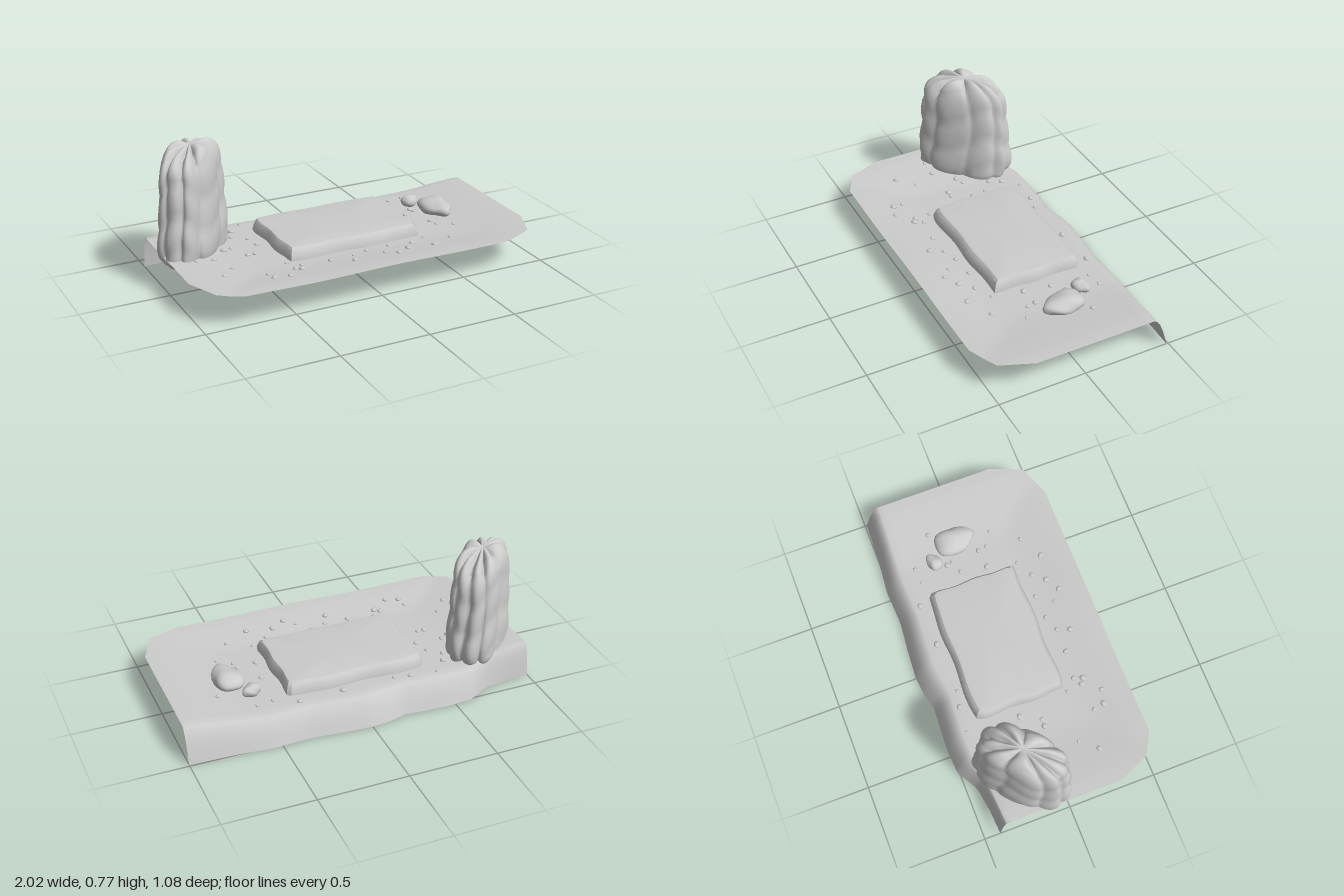
import * as THREE from 'three';
import { toCreasedNormals } from 'three/addons/utils/BufferGeometryUtils.js';

const { smoothstep, lerp } = THREE.MathUtils;
const V = (x, y, z) => new THREE.Vector3(x, y, z);
const grey = new THREE.MeshStandardMaterial({ color: 0xcccccc });
const sheet = new THREE.MeshStandardMaterial({ color: 0xcccccc, side: THREE.DoubleSide });

// Piecewise linear lookup in [x, value] pairs
function lookup(points, x) {
  for (let i = 1; i < points.length; i++) {
    const [x0, a] = points[i - 1], [x1, b] = points[i];
    if (x <= x1) return lerp(a, b, (x - x0) / (x1 - x0));
  }
  return points[points.length - 1][1];
}

// Skin over rows of points; closed rows wrap round
function loft(rows, closed) {
  const n = rows[0].length, index = [];
  for (let i = 0; i < rows.length - 1; i++) {
    for (let j = 0; j < (closed ? n : n - 1); j++) {
      const k = (j + 1) % n;
      const a = i * n + j, b = i * n + k, c = a + n, d = b + n;
      index.push(a, b, d, a, d, c);
    }
  }
  const geo = new THREE.BufferGeometry().setFromPoints(rows.flat());
  geo.setIndex(index);
  geo.computeVertexNormals();
  return geo;
}

function add(parent, name, geo, material = grey) {
  const mesh = new THREE.Mesh(geo, material);
  mesh.name = name;
  parent.add(mesh);
  return mesh;
}

// Outline of the ground: front edge, back rim and foot of the back drop
const FRONT = [[-1, 0.29], [-0.925, 0.47], [-0.8, 0.54], [0.75, 0.54], [0.925, 0.47], [1, 0.29]];
const RIM = [[-1, -0.37], [-0.72, -0.385], [-0.6, -0.415], [-0.42, -0.415], [-0.2, -0.4],
  [0, -0.43], [0.3, -0.41], [0.55, -0.42], [1, -0.4]];
const FOOT = [[-1, -0.41], [-0.85, -0.42], [-0.72, -0.44], [-0.6, -0.51], [-0.45, -0.52], [-0.2, -0.505],
  [-0.1, -0.53], [0, -0.54], [0.15, -0.53], [0.35, -0.51], [0.55, -0.52], [0.75, -0.5], [1, -0.49]];

// Shallow dish, raised towards its rim
function groundY(x, z) {
  const front = 0.028 * smoothstep(z, 0.2, 0.54);
  const sides = 0.036 * smoothstep(Math.abs(x), 0.55, 1);
  return 0.152 + Math.max(front, sides) + 0.003 * Math.sin(7 * x + 1) * smoothstep(z, 0.1, 0.5);
}

function groundGeometry() {
  const xs = [...Array.from({ length: 61 }, (_, i) => -1 + i / 30), -0.925, 0.925, 0.75].sort((a, b) => a - b);
  const rows = [];
  for (let i = 0; i <= 20; i++) {
    rows.push(xs.map(x => {
      const z = lerp(lookup(FRONT, x), lookup(RIM, x), i / 20);
      return V(x, groundY(x, z), z);
    }));
  }
  // Rounded fall at the back: [share of depth, share of height]
  for (const [t, h] of [[0.22, 0.94], [0.45, 0.78], [0.65, 0.55], [0.84, 0.27], [1, 0]]) {
    rows.push(xs.map(x => {
      const rim = lookup(RIM, x);
      return V(x, groundY(x, rim) * h, lerp(rim, lookup(FOOT, x), t));
    }));
  }
  return loft(rows, false);
}

// Low slab with wavy sloping sides
function slabGeometry() {
  const n = 16, corners = [[-1, 1], [1, 1], [1, -1], [-1, -1]];
  const loop = (hx, hz, y, wave) => {
    const points = [];
    corners.forEach(([x0, z0], s) => {
      const [x1, z1] = corners[(s + 1) % 4];
      for (let i = 0; i < n; i++) {
        const x = lerp(x0, x1, i / n), z = lerp(z0, z1, i / n);
        const w = wave * Math.sin(i / n * 13 + s * 1.9);
        const round = 1 - 0.03 * Math.abs(x * z) ** 12;
        points.push(V(x * round * (hx + w), y, z * round * (hz + w)));
      }
    });
    return points;
  };
  const rows = [loop(0.395, 0.266, -0.01, 0.006), loop(0.393, 0.264, 0.02, 0.006), loop(0.383, 0.25, 0.055, 0.005),
    loop(0.373, 0.235, 0.068, 0.004), loop(0.35, 0.215, 0.071, 0), loop(0.0001, 0.0001, 0.071, 0)];
  return toCreasedNormals(loft(rows, true), 0.5);
}

// Tall outcrop of fused, stacked columns
function outcropGeometry() {
  const profile = new THREE.CatmullRomCurve3([[0.01, 0.1], [0.5, 0.105], [0.88, 0.135], [1, 0.19], [1, 0.28],
    [0.95, 0.4], [0.92, 0.52], [0.89, 0.6], [0.82, 0.68], [0.65, 0.735], [0.35, 0.757], [0.01, 0.75],
  ].map(([r, y]) => V(r, y, 0)));
  const rows = [];
  for (const { x: r, y } of profile.getSpacedPoints(64)) {
    const row = [];
    for (let j = 0; j < 108; j++) {
      const t = j / 108 * Math.PI * 2;
      const lobe = Math.abs(Math.sin(4.5 * t + 0.5 * Math.sin(2 * t) + 0.35 * Math.sin(9 * y))) ** 0.6;
      const tier = Math.abs(Math.sin(y * 17 + 0.9 * Math.sin(3 * t + 1))) ** 0.6;
      const k = r * (1 - 0.13 * (1 - lobe) - 0.06 * (1 - tier));
      const c = Math.cos(t), s = Math.sin(t);
      const crown = smoothstep(y, 0.6, 0.75) * smoothstep(r, 0.05, 0.45);
      row.push(V(0.285 * k * Math.sign(c) * Math.abs(c) ** 0.85,
        y - crown * (0.045 * (1 - lobe) + 0.015 * Math.sin(2 * t + 1)),
        -0.155 * k * Math.sign(s) * Math.abs(s) ** 0.85));
    }
    rows.push(row);
  }
  return loft(rows, true);
}

// Smooth uneven boulder
function boulderGeometry(rx, ry, rz) {
  const geo = new THREE.SphereGeometry(1, 24, 16);
  const p = geo.attributes.position;
  for (let i = 0; i < p.count; i++) {
    const x = p.getX(i), y = p.getY(i), z = p.getZ(i);
    const k = 1 + 0.06 * Math.sin(4 * x + 2 * z) + 0.05 * Math.sin(5 * z - 3 * y);
    const taper = 1 - 0.18 * z;
    p.setXYZ(i, x * k * rx * taper, y * k * ry * (1 - 0.2 * z), z * k * rz);
  }
  geo.computeVertexNormals();
  return geo;
}

// Pebble positions: x, z
const PEBBLES = [[-0.44, -0.39], [-0.29, -0.38], [-0.2, -0.36], [-0.52, -0.31], [-0.55, -0.24], [-0.48, -0.18],
  [-0.46, -0.09], [-0.61, -0.1], [-0.66, -0.08], [-0.76, 0.03], [-0.86, 0.03], [-0.56, 0.02], [-0.52, 0.02],
  [-0.71, 0.16], [-0.79, 0.25], [-0.57, 0.31], [-0.56, 0.37], [-0.48, 0.39], [-0.42, 0.21], [-0.41, 0.3],
  [-0.36, 0.27], [-0.38, 0.32], [-0.2, 0.29], [-0.06, 0.29], [-0.09, 0.36], [0.03, 0.26], [0.1, 0.34],
  [0.16, 0.39], [0.17, 0.25], [0.24, 0.345], [0.3, 0.28], [0.4, 0.23], [0.39, 0.37], [0.53, 0.3],
  [0.64, 0.15], [0.55, 0.05], [0.56, 0.1], [0.44, 0.06], [0.465, -0.09], [0.48, -0.32], [0.35, -0.38],
  [0.57, -0.33], [0.1, -0.37], [0.74, -0.19], [0.535, -0.12], [0.53, -0.15]];

export function createModel() {
  const model = new THREE.Group();
  model.name = 'rockyLedge';

  add(model, 'ground', groundGeometry(), sheet);
  add(model, 'slab', slabGeometry(), sheet).position.set(-0.005, 0.15, -0.06);

  const outcrop = add(model, 'outcrop', outcropGeometry());
  outcrop.position.set(-0.785, 0, -0.2);
  outcrop.rotation.y = Math.PI / 4;

  const large = add(model, 'largeBoulder', boulderGeometry(0.08, 0.048, 0.12));
  large.position.set(0.65, 0.182, -0.058);
  large.rotation.y = 0.1;
  const small = add(model, 'smallBoulder', boulderGeometry(0.04, 0.035, 0.055));
  small.position.set(0.567, 0.178, -0.218);
  small.rotation.y = 2.0;

  // Scattered pebbles
  const pebbles = new THREE.Group();
  pebbles.name = 'pebbles';
  model.add(pebbles);
  const stone = new THREE.IcosahedronGeometry(1, 1);
  PEBBLES.forEach(([x, z], i) => {
    const size = 0.009 + 0.008 * ((i * 0.618) % 1);
    const pebble = add(pebbles, 'pebble', stone);
    pebble.position.set(x, groundY(x, z) + 0.002, z);
    pebble.scale.set(size, size * 0.7, size * 1.2);
    pebble.rotation.y = i * 1.3;
  });
  return model;
}
